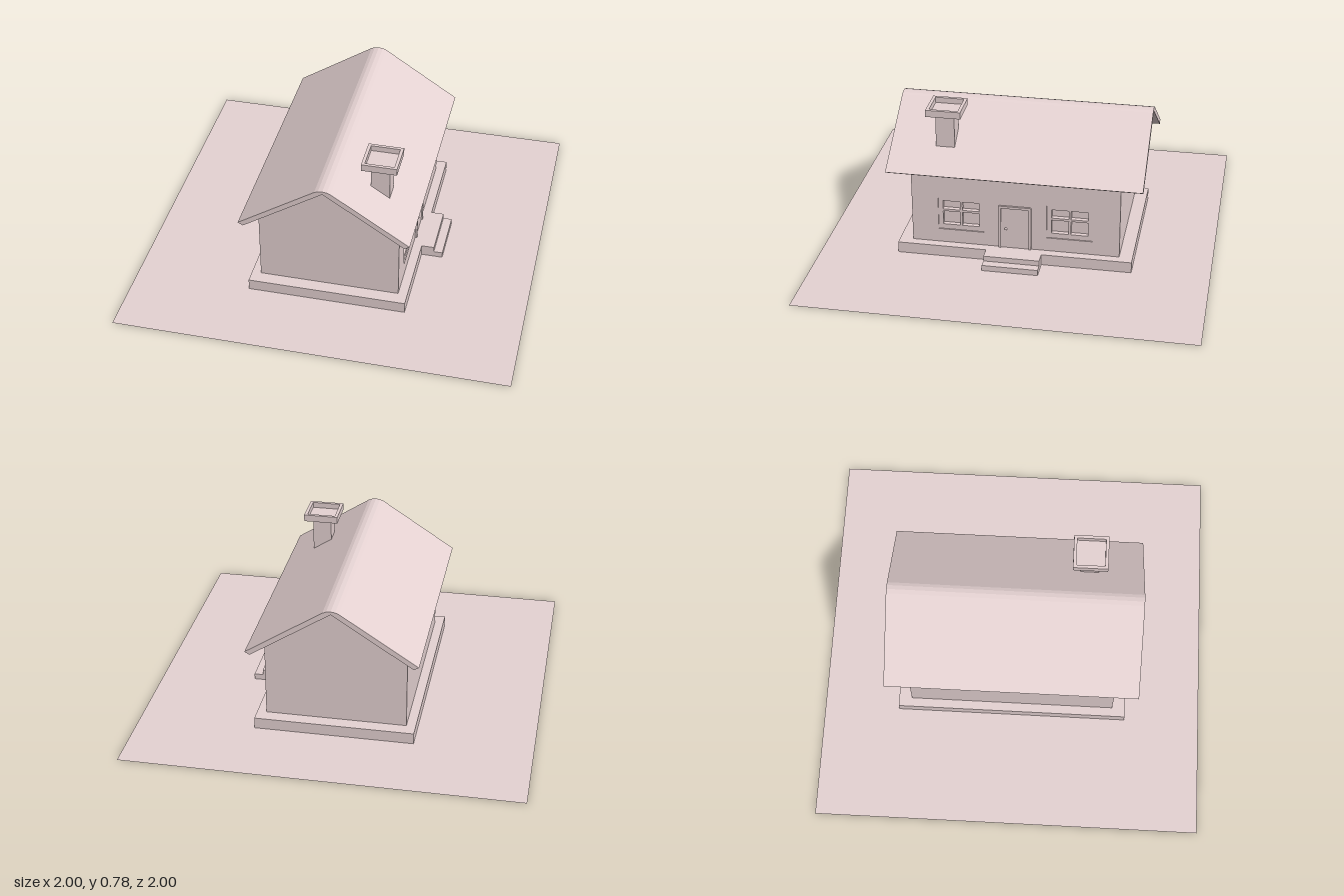
import * as THREE from 'three';

export function createModel() {
  const house = new THREE.Group();
  house.name = 'house';
  const mat = new THREE.MeshStandardMaterial({ color: 0xe6d3d3, flatShading: true });
  const groundMat = new THREE.MeshStandardMaterial({ color: 0xe6d3d3, side: THREE.DoubleSide });

  const add = (name, geo, material = mat) => {
    const m = new THREE.Mesh(geo, material);
    m.name = name;
    house.add(m);
    return m;
  };
  // box given by its limits on each axis
  const box = (name, x0, x1, y0, y1, z0, z1) =>
    add(name, new THREE.BoxGeometry(x1 - x0, y1 - y0, z1 - z0))
      .position.set((x0 + x1) / 2, (y0 + y1) / 2, (z0 + z1) / 2);
  const poly = (pts) => new THREE.Shape(pts.map(([x, y]) => new THREE.Vector2(x, y)));
  const rect = (x0, x1, y0, y1) => poly([[x0, y0], [x1, y0], [x1, y1], [x0, y1]]);
  const extrude = (shape, depth) => new THREE.ExtrudeGeometry(shape, { depth, bevelEnabled: false });
  // upright panel on the +x side, between x0 and x1
  const sidePanel = (name, shape, x0, x1) => {
    const geo = extrude(shape, x1 - x0);
    geo.rotateY(Math.PI / 2);
    geo.translate(x0, 0, 0);
    return add(name, geo);
  };

  // ground sheet
  const ground = new THREE.PlaneGeometry(2, 2);
  ground.rotateX(-Math.PI / 2);
  add('ground', ground, groundMat);

  // foundation with porch and step
  box('foundation', -0.405, 0.405, 0, 0.058, -0.603, 0.603);
  box('porch', 0.405, 0.47, 0, 0.058, -0.143, 0.143);
  box('step', 0.47, 0.515, 0, 0.03, -0.143, 0.143);

  // gabled body, set back behind the entrance wall
  const body = extrude(poly([
    [-0.358, 0.058], [0.31, 0.058], [0.31, 0.44], [0.358, 0.44],
    [0.358, 0.486], [0, 0.72], [-0.358, 0.486],
  ]), 1.07);
  body.translate(0, 0, -0.535);
  add('walls', body);

  // entrance wall with window openings
  const wall = rect(-0.535, 0.535, 0.058, 0.44);
  for (const s of [-1, 1]) wall.holes.push(rect(s * 0.28 - 0.118, s * 0.28 + 0.118, 0.132, 0.316));
  sidePanel('entranceWall', wall, 0.31, 0.358);

  // four-pane windows
  for (const s of [-1, 1]) {
    const c = s * 0.28;
    const frame = rect(c - 0.118, c + 0.118, 0.132, 0.316);
    for (const [a, b] of [[-0.094, -0.006], [0.006, 0.094]]) {
      frame.holes.push(rect(c + a, c + b, 0.159, 0.234), rect(c + a, c + b, 0.246, 0.293));
    }
    sidePanel('windowFrame', frame, 0.32, 0.352);
    box('windowGlass', 0.305, 0.328, 0.14, 0.31, c - 0.11, c + 0.11);
  }

  // door, surround and knob
  sidePanel('doorFrame', poly([
    [-0.084, 0.058], [-0.072, 0.058], [-0.072, 0.285], [0.072, 0.285], [0.072, 0.058],
    [0.084, 0.058], [0.084, 0.294], [0.08, 0.298], [-0.08, 0.298], [-0.084, 0.294],
  ]), 0.35, 0.368);
  box('door', 0.35, 0.361, 0.058, 0.286, -0.073, 0.073);
  add('doorKnob', new THREE.SphereGeometry(0.007, 12, 8)).position.set(0.364, 0.167, 0.047);

  // roof with softened ridge
  const roof = extrude(poly([
    [-0.405, 0.455], [0, 0.718], [0.405, 0.455], [0.43, 0.47], [0.04, 0.724],
    [0.022, 0.731], [0, 0.734], [-0.022, 0.731], [-0.04, 0.724], [-0.43, 0.47],
  ]), 1.3);
  roof.translate(0, 0, -0.65);
  add('roof', roof);

  // chimney with a hollow cap
  const cx = 0.235, cz = 0.37;
  box('chimney', cx - 0.048, cx + 0.048, 0.5, 0.75, cz - 0.048, cz + 0.048);
  box('chimneyCapBase', cx - 0.089, cx + 0.089, 0.744, 0.751, cz - 0.089, cz + 0.089);
  const rim = rect(-0.089, 0.089, -0.089, 0.089);
  rim.holes.push(rect(-0.073, 0.073, -0.073, 0.073));
  const rimGeo = extrude(rim, 0.029);
  rimGeo.rotateX(-Math.PI / 2);
  add('chimneyCapRim', rimGeo).position.set(cx, 0.751, cz);

  return house;
}
